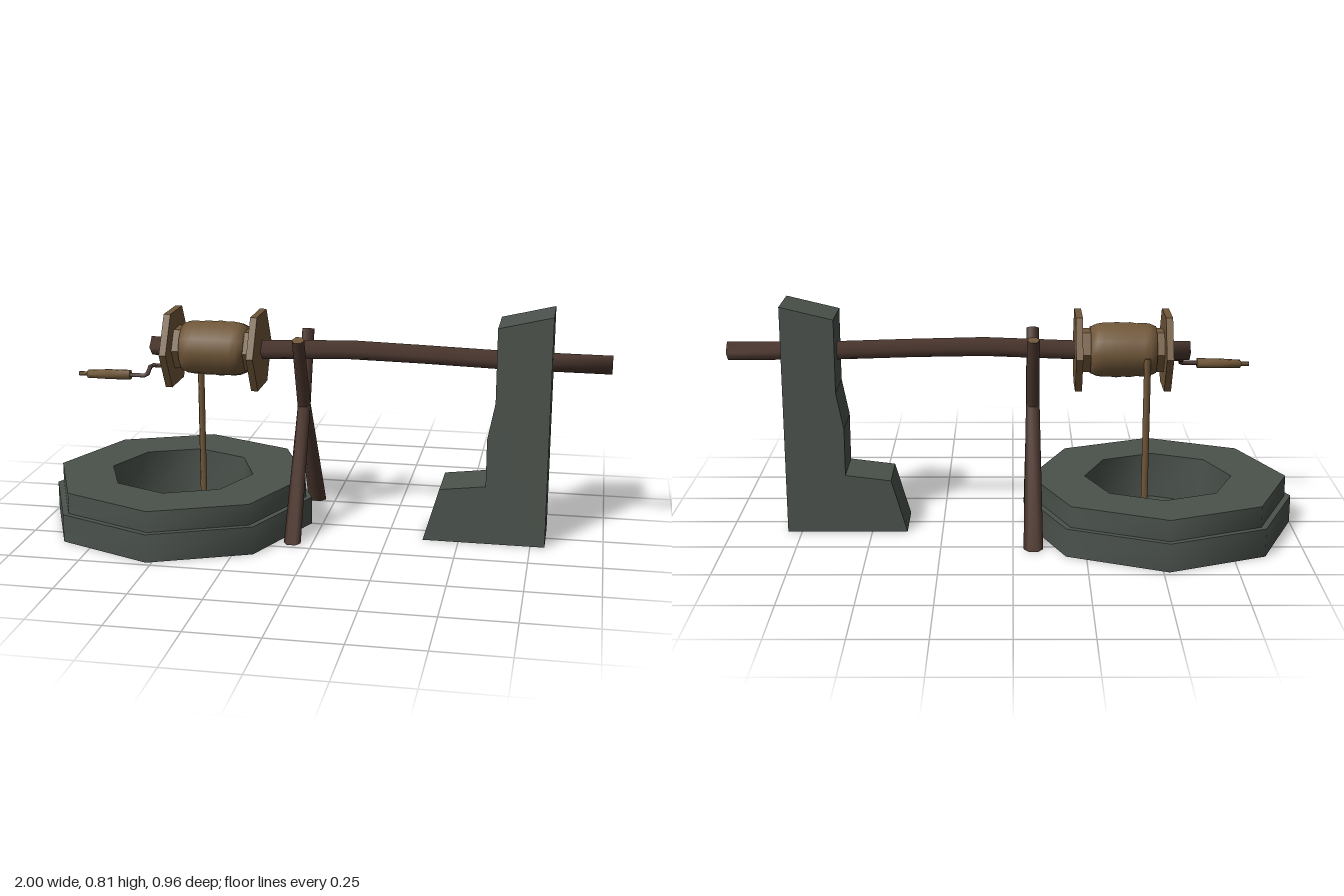
import * as THREE from 'three';
import { toCreasedNormals } from 'three/addons/utils/BufferGeometryUtils.js';

const V = (x, y, z) => new THREE.Vector3(x, y, z);
const X = V(1, 0, 0), Z = V(0, 0, 1);

// Limb swept along points: one ring per point, capped ends in group 1.
// ref is the direction of the first corner of every ring.
function limbGeometry(points, radii, sides, ref, crease) {
  const pos = [], index = [], n = points.length;
  points.forEach((p, i) => {
    const t = points[Math.min(i + 1, n - 1)].clone().sub(points[Math.max(i - 1, 0)]).normalize();
    const u = ref.clone().addScaledVector(t, -ref.dot(t)).normalize();
    const v = t.clone().cross(u);
    for (let k = 0; k < sides; k++) {
      const a = (k / sides) * Math.PI * 2;
      const q = p.clone().addScaledVector(u, radii[i] * Math.cos(a)).addScaledVector(v, radii[i] * Math.sin(a));
      pos.push(q.x, q.y, q.z);
    }
  });
  for (let i = 0; i < n - 1; i++) {
    for (let k = 0; k < sides; k++) {
      const a = i * sides + k, b = i * sides + ((k + 1) % sides);
      index.push(a, b, a + sides, b, b + sides, a + sides);
    }
  }
  const sideCount = index.length, last = (n - 1) * sides;
  for (let k = 1; k < sides - 1; k++) {
    index.push(0, k + 1, k, last, last + k, last + k + 1);
  }
  const g = new THREE.BufferGeometry();
  g.setAttribute('position', new THREE.Float32BufferAttribute(pos, 3));
  g.setIndex(index);
  g.addGroup(0, sideCount, 0);
  g.addGroup(sideCount, index.length - sideCount, 1);
  return toCreasedNormals(g, crease);
}

// Removes the triangles lying on the ground, leaving the base open.
function openBase(geometry) {
  const src = geometry.index ? geometry.toNonIndexed() : geometry;
  const p = src.getAttribute('position'), out = [];
  for (let i = 0; i < p.count; i += 3) {
    if (Math.max(p.getY(i), p.getY(i + 1), p.getY(i + 2)) < 1e-4) continue;
    for (let k = i; k < i + 3; k++) out.push(p.getX(k), p.getY(k), p.getZ(k));
  }
  const g = new THREE.BufferGeometry();
  g.setAttribute('position', new THREE.Float32BufferAttribute(out, 3));
  g.computeVertexNormals();
  return g;
}

export function createModel() {
  const model = new THREE.Group();
  model.name = 'well';
  const material = (name, color) => {
    const m = new THREE.MeshStandardMaterial({ color, side: THREE.DoubleSide });
    m.name = name;
    return m;
  };
  const stone = material('grey stone', 0x4b524c);
  const bark = material('dark bark', 0x4d3830);
  const timber = material('cut timber', 0x705739);

  const add = (name, geometry, mat) => {
    const mesh = new THREE.Mesh(geometry, mat);
    mesh.name = name;
    model.add(mesh);
    return mesh;
  };
  const limb = (name, points, radii, sides, ref, crease, mats) =>
    add(name, limbGeometry(points, radii, sides, ref, crease), mats);

  // Octagonal stepped well ring with a sunken floor, open underneath
  const wellProfile = [[0.48, 0], [0.48, 0.1], [0.458, 0.1], [0.458, 0.175], [0.263, 0.175], [0.263, 0.006], [0, 0.006]]
    .map(([r, y]) => new THREE.Vector2(r, y)).reverse();
  const ring = add('wellRing', toCreasedNormals(new THREE.LatheGeometry(wellProfile, 8), 0.9), stone);
  ring.position.x = -0.52;

  // Stone pillar with a foot, open underneath
  const side = new THREE.Shape([[0.375, 0], [0.8, 0], [0.8, 0.815], [0.615, 0.77], [0.615, 0.51],
    [0.59, 0.38], [0.59, 0.21], [0.43, 0.19]].map(([x, y]) => new THREE.Vector2(x, y)));
  const pillar = new THREE.ExtrudeGeometry(side, { depth: 0.193, bevelEnabled: false });
  add('stonePillar', openBase(pillar), stone).position.z = -0.099;

  // Long, slightly bowed beam
  limb('beam',
    [V(-0.62, 0.638, 0.002), V(-0.2, 0.641, 0.002), V(0.1, 0.653, 0), V(0.35, 0.648, 0), V(0.62, 0.64, -0.002), V(1, 0.638, -0.003)],
    [0.034, 0.034, 0.034, 0.033, 0.033, 0.033], 4, Z, 1.7, [bark, timber]);

  // Crossed legs that cradle the beam
  const legs = [
    ['frontLeg', [V(-0.07, 0, 0.207), V(-0.07, 0.44, -0.018), V(-0.07, 0.7, -0.1)], [0.03, 0.023, 0.022]],
    ['backLeg', [V(-0.07, 0, -0.27), V(-0.07, 0.45, -0.012), V(-0.07, 0.7, 0.09)], [0.034, 0.024, 0.022]],
  ];
  for (const [name, points, radii] of legs) {
    const leg = limb(name, points, radii, 6, X, 1.2, [bark, timber]);
    // Level the cut ends
    const p = leg.geometry.getAttribute('position');
    for (let i = 0; i < p.count; i++) {
      if (p.getY(i) < 0.1) p.setY(i, 0);
    }
  }

  // Windlass drum: core, two hexagonal flanges and the wound rope
  const axis = (x) => V(x, 0.64, 0.005);
  limb('drumCore', [axis(-0.53), axis(-0.235)], [0.08, 0.08], 6, Z, 0.5, timber);
  for (const [name, x] of [['rightFlange', -0.55], ['leftFlange', -0.24]]) {
    limb(name, [axis(x), axis(x + 0.024)], [0.152, 0.152], 6, Z, 0.5, timber);
  }
  const coils = [0.084, 0.094, 0.097, 0.095, 0.099, 0.097, 0.1, 0.097, 0.098, 0.094, 0.084];
  limb('woundRope', coils.map((_, i) => axis(-0.5 + i * 0.023)), coils, 12, Z, 1.2, timber);
  limb('hangingRope', [V(-0.465, 0, -0.086), V(-0.465, 0.63, -0.086)], [0.012, 0.012], 6, X, 1.2, timber);

  // Bent crank and its grip
  limb('crankRod',
    [V(-0.67, 0.56, 0.13), V(-0.612, 0.56, 0.13), V(-0.602, 0.565, 0.122), V(-0.602, 0.583, 0.09), V(-0.592, 0.587, 0.085), V(-0.54, 0.587, 0.085)],
    [0.008, 0.008, 0.008, 0.008, 0.008, 0.008], 6, V(0.3, 1, 0.2), 1.2, bark);
  limb('crankGrip',
    [V(-0.85, 0.557, 0.13), V(-0.822, 0.557, 0.13), V(-0.818, 0.557, 0.13), V(-0.74, 0.559, 0.13), V(-0.662, 0.56, 0.13)],
    [0.008, 0.008, 0.015, 0.018, 0.018], 6, Z, 1.1, timber);

  return model;
}
